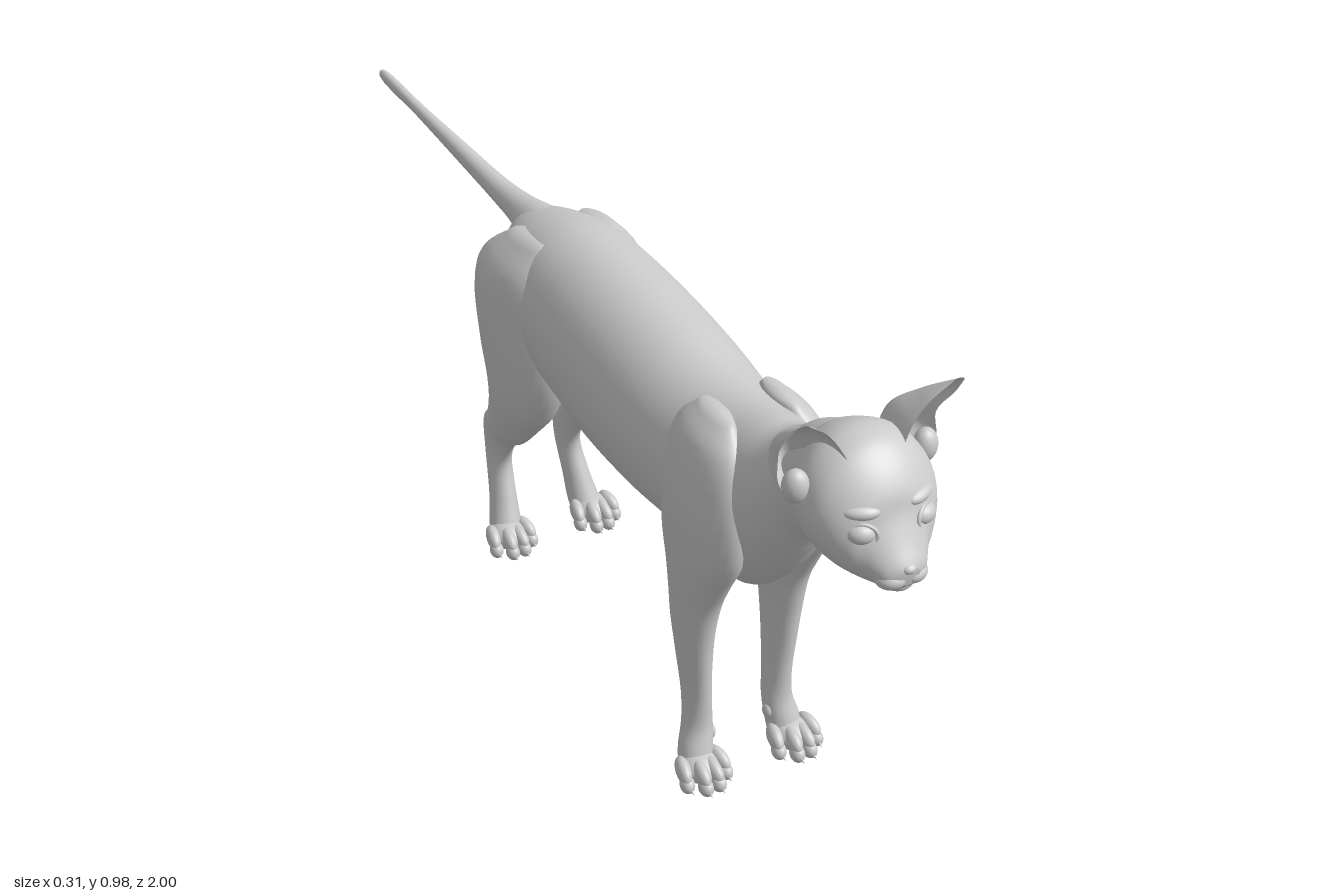
import * as THREE from 'three';
import { ParametricGeometry } from 'three/addons/geometries/ParametricGeometry.js';

const skin = new THREE.MeshStandardMaterial({ color: 0xcccccc });
const thinSkin = new THREE.MeshStandardMaterial({ color: 0xcccccc, side: THREE.DoubleSide });

// Smooth loft of elliptical rings. Each section is [z0, y0, z1, y1, halfWidth, centreX]:
// the ring spans from point 0 (top or front) to point 1 (bottom or back).
function loft(sections, side = 1, around = 32, steps = 5) {
  const a = new THREE.CatmullRomCurve3(sections.map(s => new THREE.Vector3(s[4], s[1], s[0])));
  const b = new THREE.CatmullRomCurve3(sections.map(s => new THREE.Vector3((s[5] || 0) * side, s[3], s[2])));
  const rings = (sections.length - 1) * steps;
  const pos = [], idx = [], ends = [];
  for (let k = 0; k <= rings; k++) {
    const p = a.getPoint(k / rings), q = b.getPoint(k / rings);
    const my = (p.y + q.y) / 2, mz = (p.z + q.z) / 2;
    if (k === 0 || k === rings) ends.push([q.x, my, mz]);
    for (let i = 0; i < around; i++) {
      const t = i / around * Math.PI * 2, c = Math.cos(t);
      pos.push(q.x + p.x * Math.sin(t), my + (p.y - my) * c, mz + (p.z - mz) * c);
      if (k === rings) continue;
      const u = k * around + i, v = k * around + (i + 1) % around;
      idx.push(u, u + around, v, v, u + around, v + around);
    }
  }
  // end caps
  const first = pos.length / 3, last = rings * around;
  pos.push(...ends[0], ...ends[1]);
  for (let i = 0; i < around; i++) {
    const j = (i + 1) % around;
    idx.push(first, i, j, first + 1, last + j, last + i);
  }
  const g = new THREE.BufferGeometry();
  g.setAttribute('position', new THREE.Float32BufferAttribute(pos, 3));
  g.setIndex(idx);
  g.computeVertexNormals();
  return g;
}

function add(parent, name, geometry, material = skin) {
  const m = new THREE.Mesh(geometry, material);
  m.name = name;
  parent.add(m);
  return m;
}

function blob(parent, name, [x, y, z], [rx, ry, rz], yaw = 0, pitch = 0) {
  const m = add(parent, name, new THREE.SphereGeometry(1, 24, 16));
  m.position.set(x, y, z);
  m.scale.set(rx, ry, rz);
  m.rotation.set(pitch, yaw, 0, 'YXZ');
  return m;
}

// Curved ear shell spanned by its inner edge, back ridge and outer edge
function ear(side) {
  const curve = pts => new THREE.CatmullRomCurve3(pts.map(p => new THREE.Vector3(p[0] * side, p[1], p[2])));
  const inner = curve([[.045, .875, .885], [.068, .918, .88], [.093, .95, .882], [.128, .978, .888]]);
  const ridge = curve([[.085, .84, .765], [.10, .885, .775], [.122, .93, .82], [.142, .98, .886]]);
  const outer = curve([[.105, .815, .865], [.142, .842, .84], [.143, .885, .832], [.155, .935, .86], [.150, .974, .886]]);
  const g = new ParametricGeometry((u, v, target) => {
    const i = inner.getPoint(v), o = outer.getPoint(v), mid = i.clone().add(o).multiplyScalar(.5);
    target.copy(mid)
      .addScaledVector(i.sub(o), Math.cos(Math.PI * u) / 2)
      .addScaledVector(ridge.getPoint(v).sub(mid), Math.sin(Math.PI * u));
  }, 20, 20);
  g.computeVertexNormals();
  return g;
}

// Paw with a pad, four toes and claws; z is the front of the longest toe
function paw(parent, name, x, z) {
  const g = new THREE.Group();
  g.name = name;
  g.position.set(x, 0, z);
  parent.add(g);
  blob(g, 'pawPad', [0, .028, -.07], [.036, .028, .045]);
  for (const k of [-1.5, -.5, .5, 1.5]) {
    const back = Math.abs(k) > 1 ? -.022 : 0, tx = k * .0255, yaw = k * .12;
    blob(g, 'toeKnuckle', [tx * .95, .034, back - .04], [.0135, .02, .03], yaw, .25);
    blob(g, 'toeTip', [tx, .017, back - .022], [.0135, .017, .018], yaw);
    const claw = add(g, 'claw', new THREE.ConeGeometry(.005, .018, 8));
    claw.position.set(tx, .014, back - .005);
    claw.rotation.set(1.9, 0, 0);
  }
}

export function createModel() {
  const cat = new THREE.Group();
  cat.name = 'cat';

  add(cat, 'torsoAndNeck', loft([
    [-.295, .71, -.285, .62, .025], [-.275, .735, -.27, .56, .07], [-.2, .765, -.2, .50, .112],
    [-.1, .79, -.1, .465, .132], [0, .797, 0, .45, .137], [.15, .793, .15, .432, .141],
    [.3, .78, .3, .432, .138], [.42, .765, .42, .44, .127], [.52, .768, .52, .435, .112],
    [.59, .78, .59, .435, .105], [.64, .79, .65, .495, .095], [.68, .815, .70, .57, .082],
    [.72, .85, .74, .635, .075], [.78, .885, .80, .68, .078]], 1, 48));

  add(cat, 'tail', loft([
    [-1, .703, -1, .698, .003], [-.99, .71, -.99, .69, .008], [-.8, .713, -.8, .686, .012],
    [-.6, .718, -.6, .68, .018], [-.42, .724, -.42, .673, .024], [-.32, .737, -.32, .668, .032],
    [-.25, .752, -.25, .65, .045], [-.18, .765, -.18, .64, .06]], 1, 24));

  // Head with a wedge-shaped face
  const head = new THREE.Group();
  head.name = 'head';
  cat.add(head);
  add(head, 'skull', loft([
    [.74, .855, .79, .70, .06], [.78, .888, .815, .692, .092], [.83, .91, .855, .686, .112],
    [.875, .905, .895, .685, .111], [.91, .88, .92, .685, .098], [.937, .845, .94, .686, .078],
    [.95, .81, .957, .688, .06], [.97, .775, .97, .691, .047], [.986, .752, .982, .696, .035],
    [.994, .74, .99, .708, .018]], 1, 48));
  blob(head, 'chin', [0, .7, .962], [.026, .015, .024]);
  blob(head, 'nose', [0, .738, .987], [.013, .009, .012]);
  for (const s of [1, -1]) {
    add(head, s > 0 ? 'leftEar' : 'rightEar', ear(s), thinSkin);
    blob(head, 'earFold', [s * .118, .84, .845], [.022, .03, .02], s * .5);
    blob(head, 'whiskerPad', [s * .02, .716, .97], [.026, .018, .024], s * .5);
    blob(head, 'eyeball', [s * .056, .79, .935], [.024, .018, .02], s * .5);
    blob(head, 'brow', [s * .052, .822, .925], [.032, .013, .018], s * .5);
    const lid = add(head, 'eyelid', new THREE.TorusGeometry(.024, .004, 10, 32));
    lid.position.set(s * .057, .79, .941);
    lid.scale.y = .76;
    lid.rotation.set(-.12, s * .55, s * .2);
  }

  for (const s of [1, -1]) {
    const label = s > 0 ? 'left' : 'right';

    // Shoulder running down into the foreleg
    add(cat, label + 'Foreleg', loft([
      [.56, .765, .47, .765, .015, .06], [.61, .72, .43, .72, .04, .075], [.645, .62, .41, .62, .051, .084],
      [.64, .53, .415, .52, .05, .088], [.60, .45, .435, .44, .045, .088], [.572, .39, .444, .38, .04, .088],
      [.558, .32, .449, .33, .034, .089], [.551, .24, .462, .25, .028, .087], [.546, .16, .478, .16, .025, .083],
      [.546, .10, .487, .10, .028, .083], [.556, .06, .495, .05, .032, .09], [.565, .02, .505, .015, .032, .094]], s));
    blob(cat, 'wristPad', [s * .083, .105, .492], [.012, .014, .012]);
    blob(cat, 'dewclaw', [s * .06, .075, .525], [.009, .016, .012]);
    paw(cat, label + 'FrontPaw', s * .095, .618);

    // Thigh, hock and hind foot
    add(cat, label + 'HindLeg', loft([
      [-.09, .765, -.21, .745, .02, .07], [-.045, .70, -.283, .68, .058, .085], [-.02, .60, -.305, .61, .067, .087],
      [-.015, .50, -.285, .52, .066, .089], [-.05, .41, -.254, .44, .057, .092], [-.105, .345, -.262, .37, .044, .092],
      [-.17, .28, -.298, .30, .033, .086], [-.235, .228, -.344, .245, .025, .078], [-.262, .17, -.338, .175, .023, .077],
      [-.24, .10, -.306, .09, .026, .083], [-.218, .05, -.288, .035, .031, .089], [-.205, .02, -.272, .01, .031, .092]], s));
    paw(cat, label + 'HindPaw', s * .095, -.158);
  }
  return cat;
}
